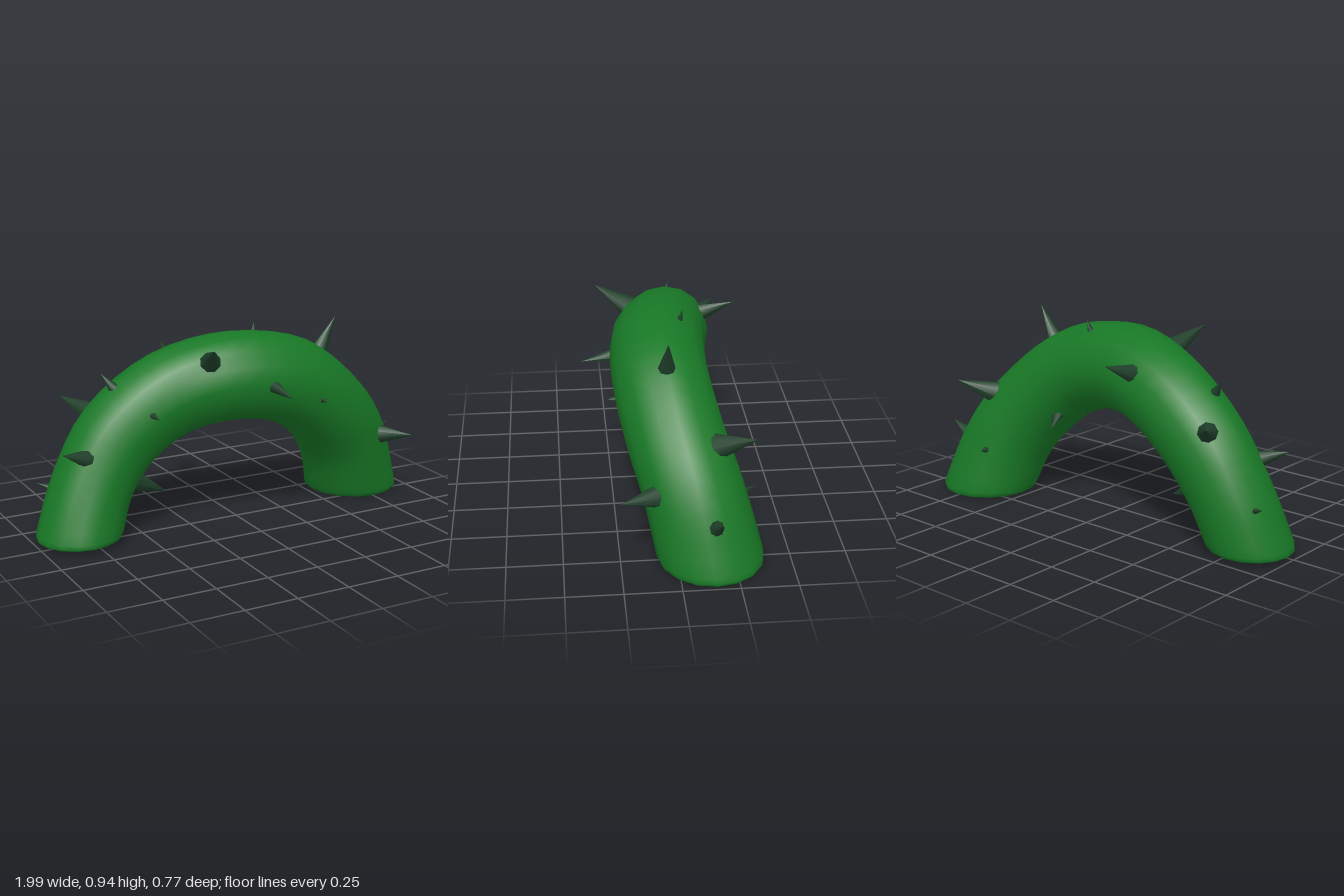
import * as THREE from 'three';

const SIDES = 16, STEPS = 32;
const SINK = 1.25; // thorns continue a little below the skin
const green = new THREE.MeshStandardMaterial({ color: 0x187826 });
const dark = new THREE.MeshStandardMaterial({ color: 0x20402a });

// Stations along the arch: inner x, y, outer x, y, centre z, half depth
const STATIONS = [
  [-0.60, 0.02, -1.005, 0.02, -0.04, 0.2],
  [-0.53, 0.19, -0.89, 0.32, -0.075, 0.19],
  [-0.41, 0.34, -0.72, 0.60, -0.085, 0.19],
  [-0.23, 0.46, -0.41, 0.83, -0.05, 0.2],
  [-0.02, 0.50, -0.03, 0.92, 0.02, 0.218],
  [0.19, 0.455, 0.36, 0.845, 0.03, 0.22],
  [0.35, 0.335, 0.65, 0.63, -0.015, 0.222],
  [0.45, 0.20, 0.85, 0.38, -0.08, 0.224],
  [0.52, 0, 0.995, 0, -0.152, 0.238],
];

// Thorns: base x, y, z, tip x, y, z, base radius
const THORNS = [
  [0.45, 0.79, 0.02, 0.535, 0.937, 0.02, 0.038],
  [-0.22, 0.83, 0.17, -0.27, 0.905, 0.30, 0.042],
  [0.07, 0.69, 0.23, 0.08, 0.665, 0.385, 0.031],
  [0.765, 0.33, 0.10, 0.85, 0.35, 0.25, 0.047],
  [0.91, 0.25, -0.155, 0.99, 0.305, -0.17, 0.03],
  [0.68, 0.52, -0.21, 0.765, 0.585, -0.34, 0.048],
  [0.13, 0.88, -0.068, 0.14, 0.93, -0.08, 0.014],
  [-0.24, 0.755, -0.20, -0.22, 0.815, -0.365, 0.043],
  [-0.605, 0.705, -0.068, -0.65, 0.765, -0.085, 0.023],
  [-0.68, 0.57, -0.22, -0.76, 0.62, -0.335, 0.042],
  [-0.80, 0.42, 0.035, -0.91, 0.46, 0.075, 0.034],
  [-0.88, 0.24, -0.15, -0.945, 0.265, -0.175, 0.017],
  [-0.51, 0.24, -0.055, -0.355, 0.17, -0.045, 0.052],
  [0.31, 0.445, -0.11, 0.265, 0.40, -0.205, 0.03],
  [0.335, 0.595, 0.21, 0.335, 0.59, 0.28, 0.022],
  [-0.485, 0.595, 0.10, -0.485, 0.59, 0.185, 0.017],
  [0.62, 0.245, -0.29, 0.59, 0.26, -0.365, 0.02],
];

function archGeometry() {
  const curve = pick => new THREE.CatmullRomCurve3(STATIONS.map(pick));
  const inner = curve(s => new THREE.Vector3(s[0], s[1], s[4]));
  const outer = curve(s => new THREE.Vector3(s[2], s[3], s[4]));
  const depth = curve((s, i) => new THREE.Vector3(i, s[5], 0));
  const centreAt = t => inner.getPoint(t).lerp(outer.getPoint(t), 0.5);

  // Rows of [position along arch, scale]; the ends close with a soft rim and flat cap
  const cap = [[0, 0.001], [0, 0.5], [0, 0.85], [0, 0.94], [0.004, 0.98], [0.012, 1]];
  const rows = [...cap];
  for (let i = 1; i < STEPS; i++) rows.push([i / STEPS, 1]);
  rows.push(...cap.map(([t, s]) => [1 - t, s]).reverse());

  const pos = [], index = [];
  rows.forEach(([t, s], i) => {
    const centre = centreAt(t);
    const half = outer.getPoint(t).sub(centre);
    // Sections stand square to the path, levelling out to horizontal at the feet
    const tangent = centreAt(Math.min(1, t + 0.01)).sub(centreAt(Math.max(0, t - 0.01))).normalize();
    const square = Math.min(1, Math.min(t, 1 - t) / 0.15);
    const side = new THREE.Vector3(0, 0, 1).addScaledVector(tangent, -tangent.z * square)
      .normalize().multiplyScalar(depth.getPoint(t).y);
    for (let j = 0; j < SIDES; j++) {
      const ang = (j / SIDES) * Math.PI * 2;
      const p = centre.clone()
        .addScaledVector(half, Math.cos(ang) * s)
        .addScaledVector(side, Math.sin(ang) * s);
      pos.push(p.x, p.y, p.z);
      if (i === rows.length - 1) continue;
      const k = (j + 1) % SIDES, r = i * SIDES, n = r + SIDES;
      index.push(r + j, r + k, n + j, r + k, n + k, n + j);
    }
  });
  const geo = new THREE.BufferGeometry();
  geo.setAttribute('position', new THREE.Float32BufferAttribute(pos, 3));
  geo.setIndex(index);
  geo.computeVertexNormals();
  return geo;
}

// Cone whose axis runs through the base centre to the tip
function thorn([bx, by, bz, tx, ty, tz, radius]) {
  const tip = new THREE.Vector3(tx, ty, tz);
  const dir = tip.clone().sub(new THREE.Vector3(bx, by, bz)).multiplyScalar(SINK);
  const mesh = new THREE.Mesh(new THREE.ConeGeometry(radius * SINK, dir.length(), 8), dark);
  mesh.position.copy(tip).addScaledVector(dir, -0.5);
  mesh.quaternion.setFromUnitVectors(new THREE.Vector3(0, 1, 0), dir.normalize());
  mesh.name = 'thorn';
  return mesh;
}

export function createModel() {
  const model = new THREE.Group();
  model.name = 'thornyVineArch';
  const vine = new THREE.Mesh(archGeometry(), green);
  vine.name = 'vine';
  const thorns = new THREE.Group();
  thorns.name = 'thorns';
  THORNS.forEach(t => thorns.add(thorn(t)));
  model.add(vine, thorns);
  return model;
}
